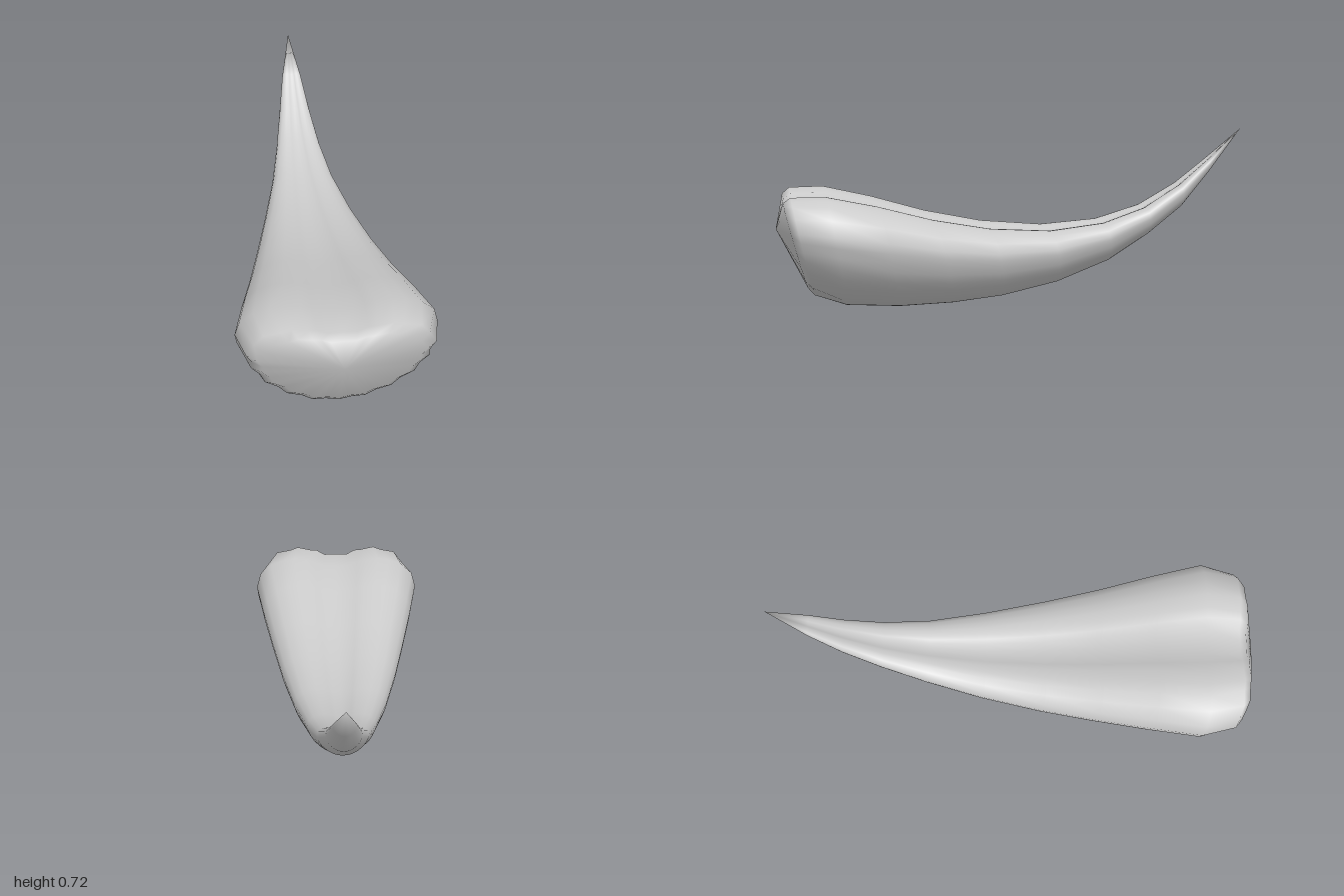
import * as THREE from 'three';

// Right half of the heart-shaped cross-section, bottom to top: [x / half width, height 0..1]
const HALF = [
  [0, 0], [0.145, 0.008], [0.29, 0.035], [0.42, 0.082], [0.566, 0.15], [0.69, 0.237],
  [0.803, 0.33], [0.887, 0.433], [0.947, 0.536], [0.982, 0.62], [1, 0.711], [0.953, 0.845],
  [0.816, 0.942], [0.658, 0.984], [0.526, 1], [0.37, 0.986], [0.263, 0.965], [0.158, 0.93], [0, 0.922],
];
const SECTION = [...HALF, ...HALF.slice(1, -1).reverse().map(([x, t]) => [-x, t])];

// Stations front to back: [bottom z, bottom y, top z, top y, half width, flute depth]
const STATIONS = [
  [0.875, 0.09, 0.97, 0.462, 0.31, 0.02],
  [0.85, 0.06, 0.94, 0.485, 0.348, 0.02],
  [0.72, 0.015, 0.8, 0.485, 0.38, 0],
  [0.5, 0, 0.6, 0.44, 0.342, 0],
  [0.28, 0.005, 0.37, 0.375, 0.295, 0],
  [0.07, 0.025, 0.13, 0.328, 0.248, 0],
  [-0.17, 0.075, -0.13, 0.308, 0.193, 0],
  [-0.4, 0.16, -0.37, 0.33, 0.138, 0],
  [-0.58, 0.27, -0.56, 0.39, 0.1, 0],
  [-0.73, 0.385, -0.72, 0.485, 0.07, 0],
  [-0.85, 0.527, -0.85, 0.59, 0.044, 0],
];

function hornGeometry(frontApex, tip) {
  const n = SECTION.length;
  const positions = [];
  const index = [];

  for (const [bz, by, tz, ty, halfWidth, flute] of STATIONS) {
    SECTION.forEach(([x, t], i) => {
      // Flutes pull every second point of the rim toward the section's middle
      const s = i % 2 ? 1 - flute * 2 : 1;
      const u = 0.6 + (t - 0.6) * s;
      positions.push(x * s * halfWidth, by + (ty - by) * u, bz + (tz - bz) * u);
    });
  }
  const apexId = positions.length / 3;
  positions.push(...frontApex, ...tip);

  const last = (STATIONS.length - 1) * n;
  for (let i = 0; i < n; i++) {
    const j = (i + 1) % n;
    for (let r = 0; r < last; r += n) {
      const a = r + i, b = r + j, c = a + n, d = b + n;
      index.push(a, c, b, b, c, d);
    }
    index.push(apexId, i, j); // front cap
    index.push(last + i, apexId + 1, last + j); // pointed tip
  }

  const geometry = new THREE.BufferGeometry();
  geometry.setAttribute('position', new THREE.Float32BufferAttribute(positions, 3));
  geometry.setIndex(index);
  geometry.computeVertexNormals();
  return geometry;
}

export function createModel() {
  const group = new THREE.Group();
  group.name = 'curvedHorn';
  const horn = new THREE.Mesh(
    hornGeometry([0, 0.335, 1], [0, 0.72, -1]),
    new THREE.MeshStandardMaterial({ color: 0xcccccc }),
  );
  horn.name = 'horn';
  group.add(horn);
  return group;
}
